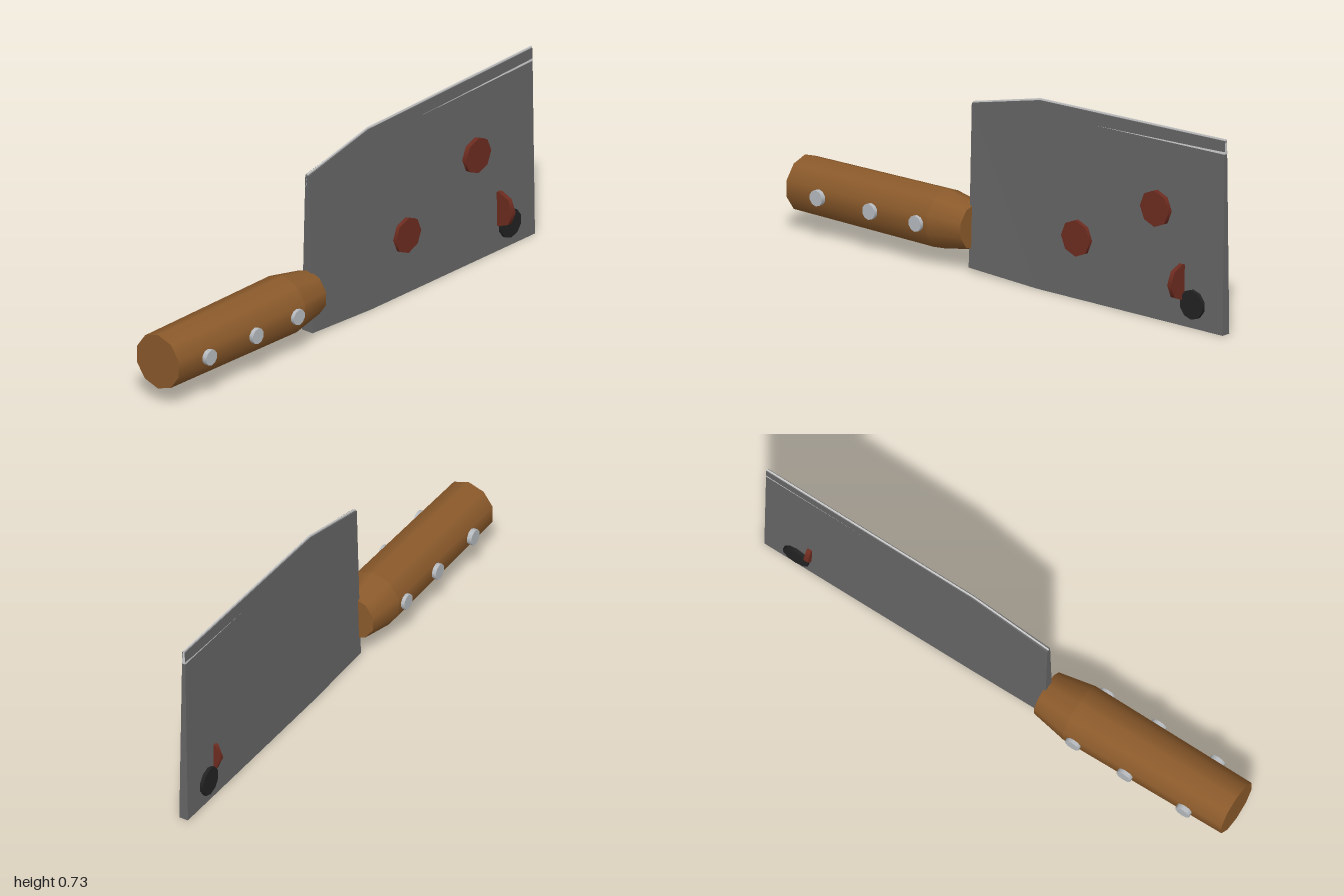
import * as THREE from 'three';

const mat = (color, flatShading = false) => new THREE.MeshStandardMaterial({ color, flatShading });

// Loft of tapered four-cornered sections along x: [x, yLow, halfWidthLow, yHigh, halfWidthHigh]
function loft(sections) {
  const pos = [];
  const rings = sections.map(([x, y0, w0, y1, w1]) => [[x, y0, w0], [x, y0, -w0], [x, y1, -w1], [x, y1, w1]]);
  const quad = (a, b, c, d) => pos.push(...a, ...b, ...c, ...a, ...c, ...d);
  for (let i = 0; i < rings.length - 1; i++) {
    for (let k = 0; k < 4; k++) {
      const n = (k + 1) % 4;
      quad(rings[i][k], rings[i][n], rings[i + 1][n], rings[i + 1][k]);
    }
  }
  const [a, b, c, d] = rings[0];
  quad(d, c, b, a);
  quad(...rings[rings.length - 1]);
  const geo = new THREE.BufferGeometry();
  geo.setAttribute('position', new THREE.Float32BufferAttribute(pos, 3));
  geo.computeVertexNormals();
  return geo;
}

export function createModel() {
  const model = new THREE.Group();
  model.name = 'cleaver';
  const add = (name, geo, material, x = 0, y = 0, z = 0) => {
    const mesh = new THREE.Mesh(geo, material);
    mesh.name = name;
    mesh.position.set(x, y, z);
    model.add(mesh);
    return mesh;
  };

  // Blade: thick spine at the bottom, thinning upward and toward the tip
  add('blade', loft([
    [-0.2, 0.015, 0.026, 0.628, 0.009],
    [0.12, 0, 0.022, 0.702, 0.007],
    [1, 0, 0.018, 0.726, 0.006],
  ]), mat(0x666666, true));

  // Ground cutting edge rising just above the blade
  add('cuttingEdge', loft([
    [-0.2, 0.58, 0.0075, 0.633, 0.0025],
    [0.12, 0.655, 0.0075, 0.708, 0.0025],
    [1.0005, 0.676, 0.0075, 0.732, 0.0025],
  ]), mat(0xcccccc, true));

  // Ten-sided handle: a long grip and a tapered collar
  const wood = mat(0x8b5a2b);
  const handlePart = (name, x0, r0, x1, r1) => {
    const geo = new THREE.CylinderGeometry(r1, r0, x1 - x0, 10, 1, false, Math.PI / 2);
    add(name, geo.rotateZ(-Math.PI / 2), wood, (x0 + x1) / 2, 0.166);
  };
  handlePart('grip', -1, 0.105, -0.33, 0.112);
  handlePart('collar', -0.33, 0.112, -0.19, 0.086);

  // Rivets through the handle
  const steel = mat(0xb8bcc0);
  for (const x of [-0.845, -0.595, -0.375]) {
    add('rivet', new THREE.CylinderGeometry(0.03, 0.03, 0.24, 10).rotateX(Math.PI / 2), steel, x, 0.165);
  }

  // Hanging hole near the tip
  add('hangingHole', new THREE.CylinderGeometry(0.055, 0.055, 0.06, 10).rotateX(Math.PI / 2),
    mat(0x222222), 0.86, 0.09);

  // Dried stains: two lying on the front, one standing across the blade
  const stain = mat(0x6e2c20);
  const disc = () => new THREE.CylinderGeometry(0.068, 0.068, 0.018, 8);
  add('stain', disc().rotateX(Math.PI / 2), stain, 0.31, 0.228, 0.021);
  add('stain', disc().rotateX(Math.PI / 2), stain, 0.685, 0.415, 0.021);
  add('standingStain', disc().rotateZ(Math.PI / 2), stain, 0.808, 0.165, 0.022);

  return model;
}
